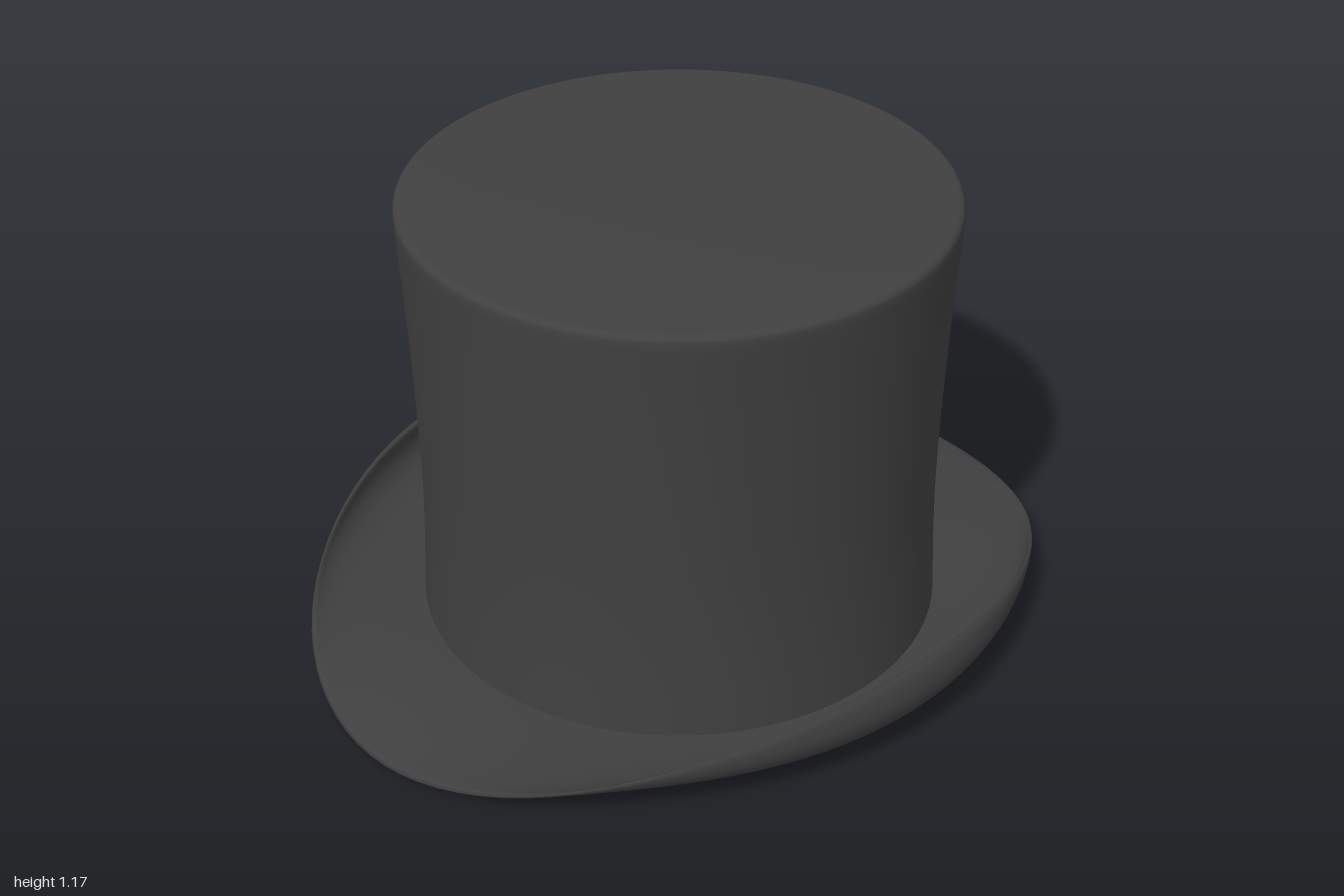
import * as THREE from 'three';

const felt = new THREE.MeshStandardMaterial({ color: 0x404040 });
felt.name = 'charcoal felt';
const leather = new THREE.MeshStandardMaterial({ color: 0x9c7a5c });
leather.name = 'tan leather';
const silk = new THREE.MeshStandardMaterial({ color: 0xc8c0ae });
silk.name = 'cream silk';

const SEGMENTS = 96;
const OPENING = 0.638;

function addMesh(parent, name, geometry, material) {
  const mesh = new THREE.Mesh(geometry, material);
  mesh.name = name;
  parent.add(mesh);
}

function lathe(points) {
  return new THREE.LatheGeometry(points.map(([r, y]) => new THREE.Vector2(r, y)), SEGMENTS);
}

// Brim section: underside outwards, round the lip, then back along the top
function brimSection(controls, thickness, steps) {
  const curve = new THREE.CubicBezierCurve(...controls.map(([r, y]) => new THREE.Vector2(r, y)));
  const lower = [], upper = [];
  for (let i = 0; i <= steps; i++) {
    const p = curve.getPoint(i / steps), t = curve.getTangent(i / steps);
    lower.push(p);
    upper.unshift(new THREE.Vector2(p.x - t.y * thickness, p.y + t.x * thickness));
  }
  const lip = lower[steps].clone().lerp(upper[0], 0.5).addScaledVector(curve.getTangent(1), 0.007);
  return [...lower, lip, ...upper];
}

// Sweep round the opening, blending the rolled sides into the dipped front and back
function brimGeometry() {
  const side = brimSection([[OPENING, 0.03], [0.8, 0.025], [0.9, 0.11], [0.838, 0.227]], 0.018, 20);
  const front = brimSection([[OPENING, 0.03], [0.76, 0.032], [0.88, 0.02], [0.994, 0.001]], 0.016, 20);
  const n = side.length, positions = [], index = [];
  for (let j = 0; j < SEGMENTS; j++) {
    const angle = (j / SEGMENTS) * Math.PI * 2;
    const c = Math.cos(angle), s = Math.sin(angle);
    const blend = Math.pow(c * c, 0.95);
    for (let i = 0; i < n; i++) {
      positions.push(side[i].x * c, THREE.MathUtils.lerp(front[i].y, side[i].y, blend), front[i].x * s);
      if (i === n - 1) continue;
      const a = j * n + i, b = ((j + 1) % SEGMENTS) * n + i;
      index.push(a, a + 1, b, a + 1, b + 1, b);
    }
  }
  const geometry = new THREE.BufferGeometry();
  geometry.setAttribute('position', new THREE.Float32BufferAttribute(positions, 3));
  geometry.setIndex(index);
  geometry.computeVertexNormals();
  return geometry;
}

export function createModel() {
  const hat = new THREE.Group();
  hat.name = 'topHat';

  // Flared crown with a rounded top edge and slightly domed lid
  const wall = new THREE.SplineCurve([
    [0.657, 0.04], [0.648, 0.25], [0.646, 0.45], [0.652, 0.7], [0.663, 0.95], [0.674, 1.135],
  ].map(([r, y]) => new THREE.Vector2(r, y))).getPoints(30).map((p) => [p.x, p.y]);
  const edge = [];
  for (let i = 1; i <= 6; i++) {
    const a = (i / 6) * Math.PI / 2;
    edge.push([0.654 + 0.02 * Math.cos(a), 1.143 + 0.02 * Math.sin(a)]);
  }
  addMesh(hat, 'crown', lathe([...wall, ...edge, [0.63, 1.164], [0.5, 1.168], [0.25, 1.171], [0, 1.172]]), felt);

  addMesh(hat, 'brim', brimGeometry(), felt);

  // Inside surfaces, facing inwards and downwards
  addMesh(hat, 'sweatband', lathe([[0.632, 0.35], [OPENING, 0.03]]), leather);
  addMesh(hat, 'lining', lathe([[0.65, 1.13], [0.634, 0.6], [0.634, 0.345]]), silk);
  const ceiling = new THREE.CircleGeometry(0.65, SEGMENTS).rotateX(Math.PI / 2).translate(0, 1.13, 0);
  addMesh(hat, 'liningTop', ceiling, silk);

  return hat;
}
